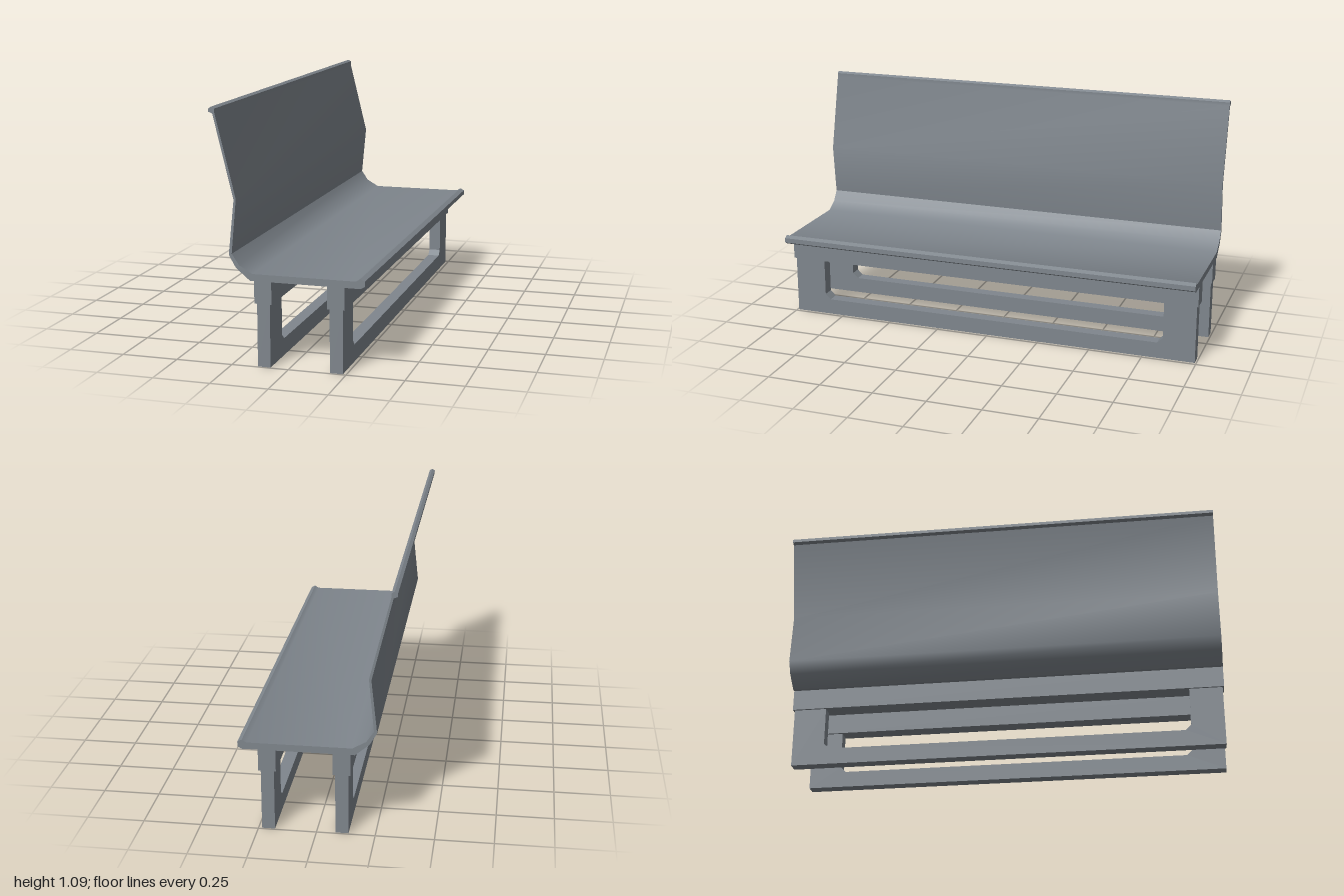
import * as THREE from 'three';
import { toCreasedNormals } from 'three/addons/utils/BufferGeometryUtils.js';

const grey = new THREE.MeshStandardMaterial({ color: 0x7f868d });
grey.name = 'bench grey';

// Extrude an outline by a depth, centred on the extrusion axis
function extrude(points, depth) {
  const shape = new THREE.Shape(points.map(([a, b]) => new THREE.Vector2(a, b)));
  const geometry = new THREE.ExtrudeGeometry(shape, { depth, bevelEnabled: false });
  return geometry.translate(0, 0, -depth / 2);
}

function addMesh(parent, name, geometry) {
  const mesh = new THREE.Mesh(geometry, grey);
  mesh.name = name;
  parent.add(mesh);
  return mesh;
}

export function createModel() {
  const bench = new THREE.Group();
  bench.name = 'bench';

  // Bent sheet forming seat and backrest, with rolled edges
  const profile = [
    // underside, front lip
    [-0.163, 0.37], [0.313, 0.37], [0.33, 0.38], [0.33, 0.402], [0.311, 0.412], [0.292, 0.4],
    // seat top and front of the backrest
    [-0.152, 0.4], [-0.21, 0.433], [-0.242, 0.48], [-0.22, 0.712],
    // rolled top edge
    [-0.307, 1.066], [-0.307, 1.083], [-0.32, 1.091], [-0.333, 1.083], [-0.333, 1.069], [-0.316, 1.062],
    // rear of the backrest
    [-0.23, 0.708], [-0.255, 0.475], [-0.225, 0.422],
  ];
  addMesh(bench, 'seatAndBackrest', toCreasedNormals(extrude(profile, 2), 0.65));

  // U-shaped leg frame with chamfered inner corners
  const frame = [
    [-0.993, 0], [0.993, 0], [0.993, 0.275], [0.843, 0.275], [0.843, 0.1], [0.817, 0.075],
    [-0.817, 0.075], [-0.843, 0.1], [-0.843, 0.275], [-0.993, 0.275],
  ];
  for (const [name, x] of [['rear', -0.108], ['front', 0.207]]) {
    const support = new THREE.Group();
    support.name = name + 'Support';
    support.position.x = x;
    bench.add(support);

    addMesh(support, name + 'LegFrame', extrude(frame, 0.056).rotateY(Math.PI / 2));

    // Wider rail between the leg frame and the seat
    addMesh(support, name + 'Rail', new THREE.BoxGeometry(0.075, 0.098, 2)).position.y = 0.323;
  }

  return bench;
}
